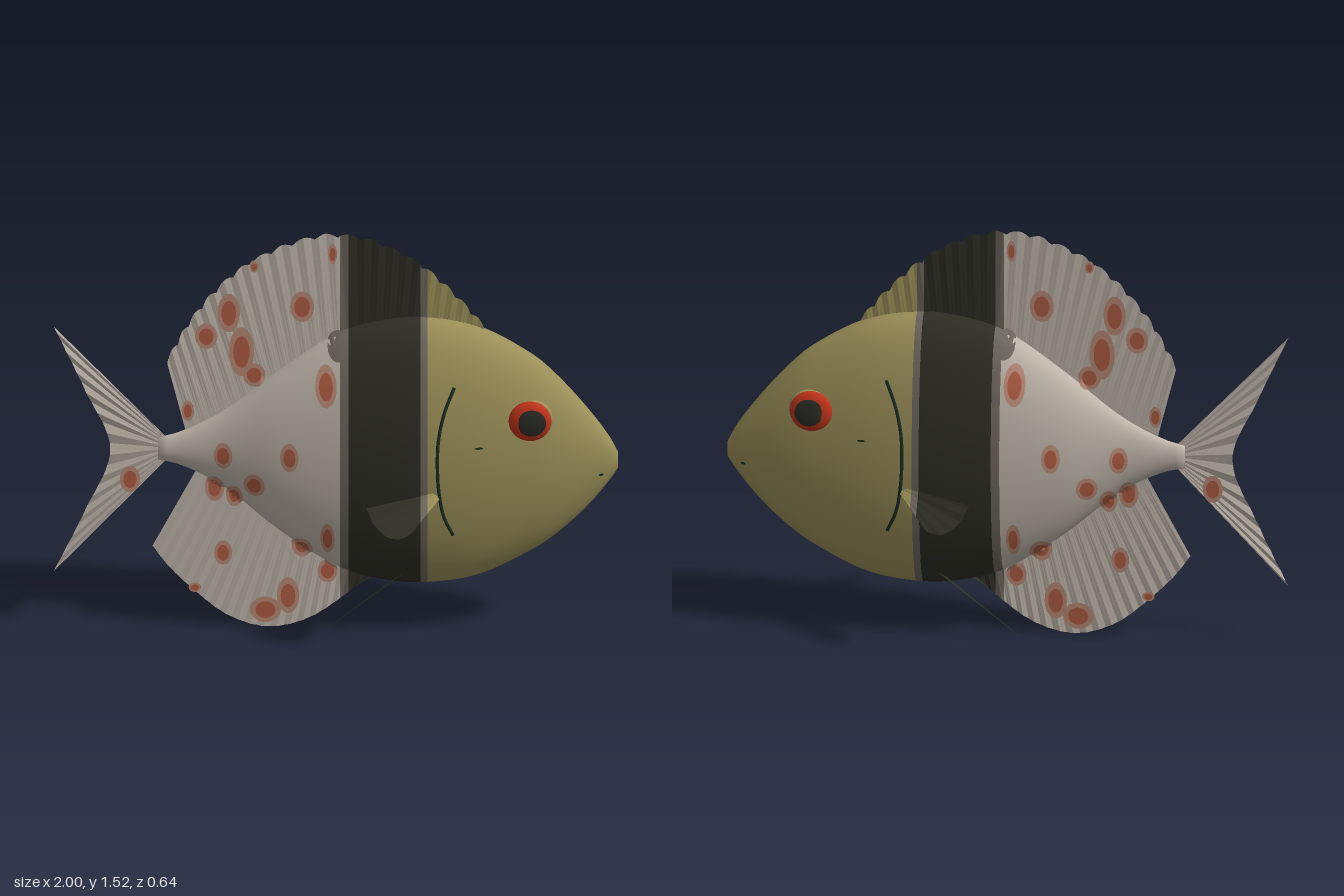
import * as THREE from 'three';

const mat = (name, color) => {
  const m = new THREE.MeshStandardMaterial({ color, side: THREE.DoubleSide });
  m.name = name;
  return m;
};
const pale = mat('pale skin', 0xbdb4a9);
const grey = mat('grey band edge', 0x6c655c);
const dark = mat('dark band', 0x2d2d24);
const olive = mat('olive skin', 0x9b8f58);
const rust = mat('rust spot', 0xae5b41);
const blush = mat('blush spot edge', 0xb98a76);
const red = mat('red iris', 0xc2341a);
const pupilBlack = mat('pupil', 0x2b2b25);
const ink = mat('gill line', 0x1b2c20);

// Vertical colour bands, shared by the body and the fins
const BANDS = [
  [-2, 0.015, pale], [0.015, 0.045, grey], [0.045, 0.3, dark], [0.3, 0.325, grey], [0.325, 2, olive],
];

// Body stations: x, top, bottom, half width
const STATIONS = [
  [-0.63, 0.735, 0.65, 0.022], [-0.55, 0.758, 0.63, 0.03], [-0.4, 0.84, 0.55, 0.056],
  [-0.2, 1.0, 0.38, 0.112], [0, 1.14, 0.245, 0.147], [0.15, 1.19, 0.195, 0.163],
  [0.3, 1.205, 0.18, 0.17], [0.5, 1.168, 0.21, 0.158], [0.7, 1.055, 0.31, 0.126],
  [0.8, 0.96, 0.385, 0.1], [0.9, 0.84, 0.485, 0.064], [0.97, 0.74, 0.575, 0.034], [1, 0.68, 0.622, 0.014],
];

// Smooth interpolation of one station column
function station(x, k) {
  const S = STATIONS, n = S.length;
  let i = 0;
  while (i < n - 2 && x > S[i + 1][0]) i++;
  const slope = (j) => {
    const a = S[Math.max(j - 1, 0)], b = S[Math.min(j + 1, n - 1)];
    return (b[k] - a[k]) / (b[0] - a[0]);
  };
  const w = S[i + 1][0] - S[i][0];
  const t = THREE.MathUtils.clamp((x - S[i][0]) / w, 0, 1), t2 = t * t, t3 = t2 * t;
  return (2 * t3 - 3 * t2 + 1) * S[i][k] + (t3 - 2 * t2 + t) * w * slope(i)
    + (3 * t2 - 2 * t3) * S[i + 1][k] + (t3 - t2) * w * slope(i + 1);
}

// Half thickness of the body at a side-on point (0 outside it)
function skinZ(x, y) {
  if (x < -0.63 || x > 1) return 0;
  const top = station(x, 1), bottom = station(x, 2);
  const q = (y - (top + bottom) / 2) / ((top - bottom) / 2);
  return station(x, 3) * Math.sqrt(Math.max(0, 1 - q * q));
}

function mesh(name, geometry, material) {
  const m = new THREE.Mesh(geometry, material);
  m.name = name;
  return m;
}

// Elliptical rings lofted along x, coloured by band
function makeBody() {
  const N = 48, xs = BANDS.slice(1).map((b) => b[0]);
  for (let i = 0; i <= 54; i++) xs.push(-0.63 + (1.63 * i) / 54);
  xs.push(0.985, 0.993);
  xs.sort((a, b) => a - b);
  const rings = [xs[0], ...xs, xs[xs.length - 1]], pos = [], index = [];
  rings.forEach((x, i) => {
    const size = i === 0 || i === rings.length - 1 ? 0 : 1;
    const top = station(x, 1), bottom = station(x, 2);
    for (let j = 0; j < N; j++) {
      const a = (j / N) * Math.PI * 2;
      pos.push(x, (top + bottom) / 2 + size * Math.cos(a) * (top - bottom) / 2, size * Math.sin(a) * station(x, 3));
    }
  });
  const g = new THREE.BufferGeometry();
  for (let i = 0; i < rings.length - 1; i++) {
    const mid = (rings[i] + rings[i + 1]) / 2;
    g.addGroup(index.length, N * 6, BANDS.findIndex((b) => mid < b[1]));
    for (let j = 0; j < N; j++) {
      const a = i * N + j, b = i * N + (j + 1) % N;
      index.push(a, b, b + N, a, b + N, a + N);
    }
  }
  g.setAttribute('position', new THREE.Float32BufferAttribute(pos, 3));
  g.setIndex(index);
  g.computeVertexNormals();
  return mesh('body', g, BANDS.map((b) => b[2]));
}

// Keep the part of a polygon on one side of a vertical plane
function clip(poly, x, sign) {
  const out = [];
  poly.forEach((p, i) => {
    const q = poly[(i + 1) % poly.length], dp = (p.x - x) * sign, dq = (q.x - x) * sign;
    if (dp >= 0) out.push(p);
    if (dp * dq < 0) out.push(p.clone().lerp(q, dp / (dp - dq)));
  });
  return out;
}

// Fin lofted from a base curve to a rim curve, cut into colour bands
function makeFin(name, base, rim, { n = 60, ripple = 0, scallop = 0, bands = BANDS, side = 1 } = {}) {
  const curve = (pts) => new THREE.CatmullRomCurve3(
    pts.map(([x, y, z = 0]) => new THREE.Vector3(x, y, z * side))).getSpacedPoints(n);
  const inner = curve(base), outer = curve(rim);
  outer.forEach((p, i) => {
    const out = p.clone().sub(inner[i]).normalize();
    p.addScaledVector(out, scallop * (Math.abs(Math.sin((i * Math.PI) / 6)) - 0.5));
    p.z += ripple * Math.sin((i * Math.PI) / 2);
  });
  const group = new THREE.Group();
  group.name = name;
  for (const [x0, x1, material] of bands) {
    const pos = [];
    for (let i = 0; i < n; i++) {
      const poly = clip(clip([inner[i], outer[i], outer[i + 1], inner[i + 1]], x0, 1), x1, -1);
      for (let k = 1; k < poly.length - 1; k++) {
        for (const p of [poly[0], poly[k], poly[k + 1]]) pos.push(p.x, p.y, p.z);
      }
    }
    if (!pos.length) continue;
    const g = new THREE.BufferGeometry();
    g.setAttribute('position', new THREE.Float32BufferAttribute(pos, 3));
    g.computeVertexNormals();
    group.add(mesh(name + ' ' + material.name, g, material));
  }
  return group;
}

// Oval patch draped on the skin or fin
function patch(name, x, y, rx, ry, lift, material, side) {
  const g = new THREE.RingGeometry(0, 1, 18, 3), p = g.attributes.position;
  for (let i = 0; i < p.count; i++) {
    const px = x + p.getX(i) * rx, py = y + p.getY(i) * ry;
    p.setXYZ(i, px, py, side * (skinZ(px, py) + lift));
  }
  g.computeVertexNormals();
  return mesh(name, g, material);
}

// Spots: x, y, half width, half height
const SPOTS = [
  [-0.4, 0.69, 0.033, 0.05], [-0.165, 0.71, 0.033, 0.055], [-0.035, 0.98, 0.038, 0.075],
  [-0.29, 0.585, 0.038, 0.045], [-0.36, 0.52, 0.03, 0.05], [-0.12, 0.325, 0.038, 0.05],
  [-0.03, 0.39, 0.025, 0.065], [-0.12, 1.245, 0.043, 0.06], [-0.38, 1.22, 0.04, 0.075],
  [-0.46, 1.13, 0.04, 0.05], [-0.335, 1.07, 0.045, 0.095], [-0.29, 0.98, 0.04, 0.045],
  [-0.012, 1.45, 0.016, 0.04], [-0.29, 1.4, 0.016, 0.022], [-0.525, 0.84, 0.022, 0.04],
  [-0.43, 0.545, 0.035, 0.055], [-0.4, 0.29, 0.032, 0.048], [-0.17, 0.125, 0.04, 0.07],
  [-0.25, 0.07, 0.055, 0.05], [-0.03, 0.22, 0.036, 0.045], [-0.5, 0.155, 0.022, 0.018],
  [-0.73, 0.575, 0.036, 0.052],
];

export function createModel() {
  const fish = new THREE.Group();
  fish.name = 'fish';
  fish.add(makeBody());

  // Median fins
  fish.add(makeFin('dorsalFin',
    [[0.52, 1.12], [0.3, 1.1], [0, 1.04], [-0.3, 0.85], [-0.53, 0.75]],
    [[0.53, 1.16], [0.43, 1.28], [0.3, 1.405], [0.15, 1.49], [-0.02, 1.52], [-0.2, 1.47],
      [-0.36, 1.37], [-0.5, 1.21], [-0.6, 1.03]], { n: 108, ripple: 0.002, scallop: 0.016 }));
  fish.add(makeFin('analFin',
    [[0.14, 0.28], [-0.1, 0.42], [-0.3, 0.54], [-0.49, 0.62]],
    [[0.12, 0.21], [0.03, 0.125], [-0.1, 0.035], [-0.24, 0.002], [-0.38, 0.045], [-0.52, 0.16],
      [-0.6, 0.245], [-0.65, 0.315]], { n: 80, ripple: 0.002 }));
  fish.add(makeFin('tailFin', [[-0.6, 0.735], [-0.6, 0.65]],
    [[-1, 1.165], [-0.89, 0.92], [-0.8, 0.69], [-0.89, 0.45], [-1, 0.215]], { n: 48, ripple: 0.004 }));

  for (const side of [1, -1]) {
    const label = side > 0 ? 'right' : 'left';

    // Paired fins
    fish.add(makeFin(label + 'PectoralFin', [[0.37, 0.595, 0.155], [0.38, 0.58, 0.155]],
      [[0.11, 0.575, 0.255], [0.14, 0.52, 0.29], [0.2, 0.485, 0.32], [0.26, 0.49, 0.3], [0.29, 0.52, 0.255]],
      { n: 20, ripple: 0.002, side }));
    fish.add(makeFin(label + 'PelvicFin', [[0.24, 0.24, 0.055], [0.235, 0.24, 0.082]],
      [[-0.06, 0.025, 0.119], [-0.06, 0.025, 0.121]], { n: 2, side, bands: [[-2, 2, dark]] }));

    // Eye: socket, iris and pupil
    const eye = new THREE.Group();
    eye.name = label + 'Eye';
    const dome = (name, material, r, depth, angle, x, z) => {
      const m = mesh(name, new THREE.SphereGeometry(1, 32, 20, 0, Math.PI * 2, 0, angle).rotateX(side * Math.PI / 2), material);
      m.scale.set(r, r, depth);
      m.position.set(x, 0.86, side * z);
      eye.add(m);
    };
    dome('eyeSocket', olive, 0.073, 0.025, Math.PI, 0.697, 0.113);
    dome('iris', red, 0.076, 0.026, Math.PI, 0.688, 0.134);
    dome('pupil', pupilBlack, 0.077, 0.0275, 0.72, 0.694, 0.134);
    fish.add(eye);

    // Gill line following the skin
    const gill = new THREE.CatmullRomCurve3(
      [[0.42, 0.99], [0.385, 0.9], [0.364, 0.8], [0.36, 0.7], [0.365, 0.6], [0.382, 0.5], [0.415, 0.42]]
        .map(([x, y]) => new THREE.Vector3(x, y, side * (skinZ(x, y) + 0.001))));
    fish.add(mesh(label + 'GillLine', new THREE.TubeGeometry(gill, 40, 0.006, 8), ink));

    // Small face marks
    fish.add(patch('cheekMark', 0.507, 0.764, 0.015, 0.004, 0.003, ink, side));
    fish.add(patch('nostril', 0.94, 0.614, 0.008, 0.005, 0.003, ink, side));

    // Ragged top of the band, then the spots
    fish.add(patch('bandBlotch', 0.006, 1.11, 0.036, 0.045, 0.003, grey, side));
    for (const [x, y, rx, ry] of SPOTS) {
      fish.add(patch('spotEdge', x, y, rx, ry, 0.004, blush, side));
      fish.add(patch('spotCore', x, y, rx * 0.65, ry * 0.65, 0.007, rust, side));
    }
  }
  return fish;
}
